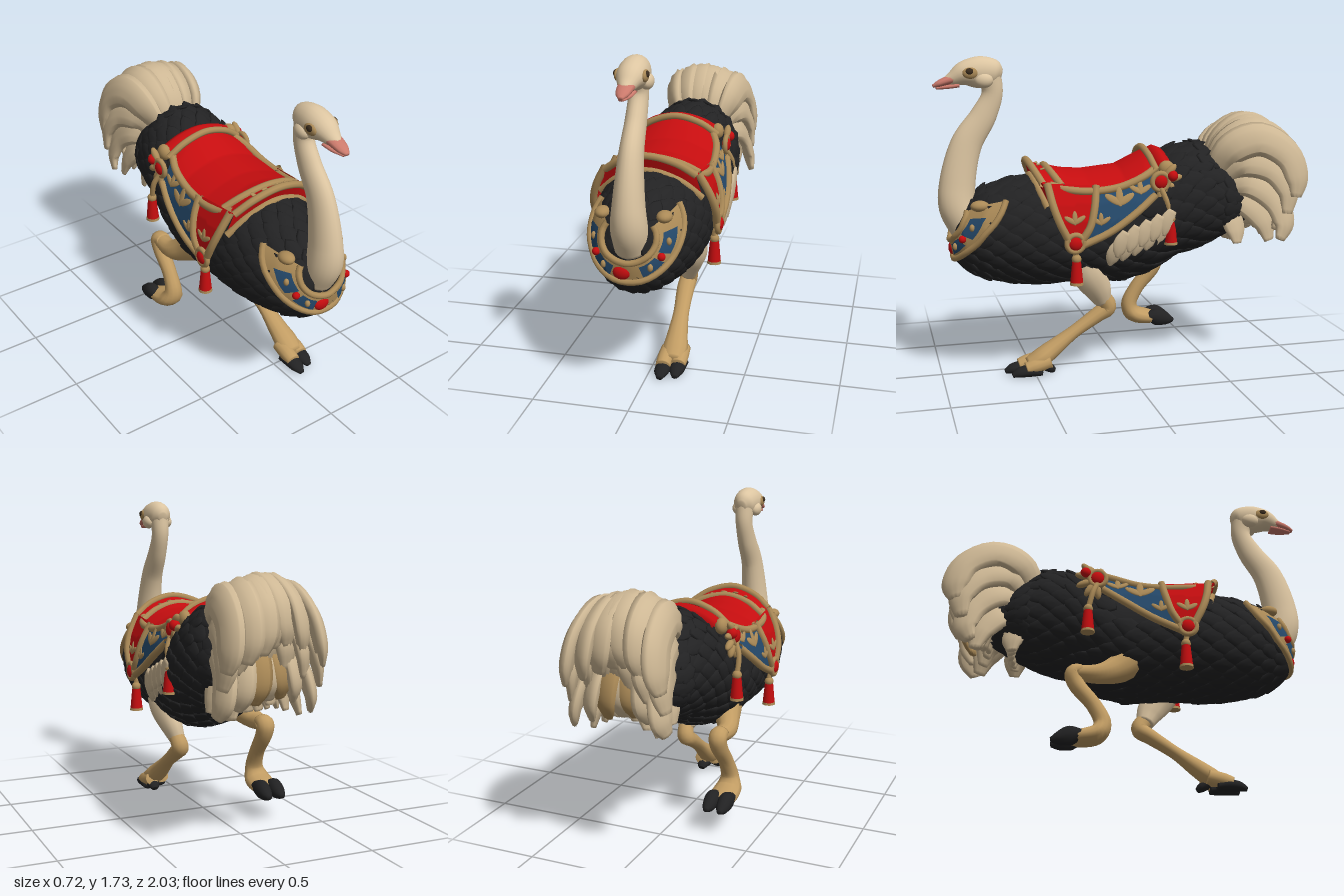
import * as THREE from 'three';
import { mergeGeometries } from 'three/addons/utils/BufferGeometryUtils.js';
import { ParametricGeometry } from 'three/addons/geometries/ParametricGeometry.js';

const CX = -0.02; // centre line of saddle and collar
const V = (x, y, z) => new THREE.Vector3(x, y, z);

const mat = (name, color) => {
  const m = new THREE.MeshStandardMaterial({ color, side: THREE.DoubleSide });
  m.name = name;
  return m;
};

// Linear lookup in rows sorted by their first column
function lookup(rows, t) {
  let i = 0;
  while (i < rows.length - 2 && t > rows[i + 1][0]) i++;
  const [a, b] = [rows[i], rows[i + 1]];
  const k = THREE.MathUtils.clamp((t - a[0]) / (b[0] - a[0]), 0, 1);
  return a.slice(1).map((v, j) => v + (b[j + 1] - v) * k);
}

// Body sections: z, centre x, centre y, half width, half height
const SECTIONS = [
  [-0.76, 0.02, 0.9, 0.01, 0.01], [-0.7, 0.02, 0.91, 0.12, 0.11], [-0.6, 0.02, 0.93, 0.2, 0.19],
  [-0.45, 0.02, 0.95, 0.245, 0.28], [-0.3, 0.01, 0.92, 0.275, 0.29], [-0.15, 0, 0.84, 0.285, 0.3],
  [0, -0.01, 0.78, 0.285, 0.28], [0.25, -0.02, 0.785, 0.285, 0.27], [0.45, -0.02, 0.79, 0.28, 0.285],
  [0.6, -0.02, 0.79, 0.255, 0.27], [0.75, -0.02, 0.785, 0.205, 0.23], [0.84, -0.02, 0.77, 0.15, 0.17],
  [0.88, -0.02, 0.76, 0.1, 0.11], [0.9, -0.02, 0.76, 0.01, 0.01],
];
function bodyPoint(z, a) {
  const [cx, cy, w, h] = lookup(SECTIONS, z);
  return V(cx + w * Math.sin(a), cy + h * Math.cos(a), z);
}
const bodyHalf = (z, y) => {
  const [, cy, w, h] = lookup(SECTIONS, z);
  return w * Math.sqrt(Math.max(0, 1 - ((y - cy) / h) ** 2));
};
// Breast surface at a given x and y, lifted by off
function onChest(x, y, off) {
  let lo = 0.5, hi = 0.9;
  for (let i = 0; i < 24; i++) {
    const z = (lo + hi) / 2, [cx, cy, w, h] = lookup(SECTIONS, z);
    if (((x - cx) / w) ** 2 + ((y - cy) / h) ** 2 < 1) lo = z; else hi = z;
  }
  const p = V(x, y, lo);
  return p.addScaledVector(p.clone().sub(V(CX, 0.78, 0.55)).normalize(), off);
}

// Half width of the saddle skirt at a height
const SKIRT = [[0.7, 0.315], [0.8, 0.33], [0.88, 0.325], [0.97, 0.3], [1.05, 0.262], [1.12, 0.22]];
const skirtX = (y) => lookup(SKIRT, y)[0];

// Loft of elliptical rings along a path of [x, y, z, side radius, other radius]
function loft(pts, seg = 20, rad = 12, ridge = 0, roll = 0) {
  const path = new THREE.CatmullRomCurve3(pts.map((p) => V(p[0], p[1], p[2])));
  const size = new THREE.CatmullRomCurve3(pts.map((p) => V(p[3], p[4], 0)), false, 'catmullrom');
  const pos = [], idx = [];
  for (let i = -1; i <= seg + 1; i++) {
    const t = THREE.MathUtils.clamp(i / seg, 0, 1);
    const c = path.getPoint(t), r = size.getPoint(t), T = path.getTangent(t);
    if (i < 0 || i > seg) r.set(0, 0, 0);
    const side = V(1, 0, 0).addScaledVector(T, -T.x).normalize().applyAxisAngle(T, roll);
    const N = T.clone().cross(side);
    for (let j = 0; j < rad; j++) {
      const f = (j / rad) * Math.PI * 2, k = 1 + ridge * (j % 2 ? -1 : 1);
      const p = c.clone().addScaledVector(side, r.x * k * Math.cos(f)).addScaledVector(N, r.y * k * Math.sin(f));
      pos.push(p.x, p.y, p.z);
    }
  }
  for (let i = 0; i < seg + 2; i++) for (let j = 0; j < rad; j++) {
    const a = i * rad + j, b = i * rad + ((j + 1) % rad);
    idx.push(a, b, a + rad, b, b + rad, a + rad);
  }
  const g = new THREE.BufferGeometry();
  g.setAttribute('position', new THREE.Float32BufferAttribute(pos, 3));
  g.setIndex(idx);
  g.computeVertexNormals();
  return g;
}

const curve = (pts) => new THREE.CatmullRomCurve3(pts.map((p) => V(...p)));
const tube = (pts, r) => new THREE.TubeGeometry(curve(pts), 32, r, 8);
const patch = (f, nu = 20, nv = 12) => new ParametricGeometry((u, v, t) => t.copy(f(u, v)), nu, nv);

export function createModel() {
  const root = new THREE.Group();
  root.name = 'carouselBird';
  const black = mat('black plumage', 0x222223), cream = mat('cream skin', 0xdcc5a1);
  const plume = mat('pale plume', 0xcdb794), tan = mat('tan leg', 0xc19c63), gold = mat('old gold', 0xab8a57);
  const red = mat('red', 0xc50d0f), blue = mat('blue', 0x25496b), pink = mat('pink beak', 0xcb7a6c);
  const brown = mat('dark brown', 0x3b2d1e);
  const add = (name, geo, m, parent = root) => {
    const mesh = new THREE.Mesh(geo, m);
    mesh.name = name;
    parent.add(mesh);
    return mesh;
  };
  const ball = (name, m, p, s) => {
    const b = add(name, new THREE.SphereGeometry(1, 16, 12), m);
    b.position.set(...p);
    b.scale.set(...s);
    return b;
  };

  // Body and its overlapping feathers
  add('body', patch((u, v) => bodyPoint(-0.76 + 1.66 * u, Math.PI * (1 + 2 * v)), 50, 36), black);
  const leaf = new THREE.SphereGeometry(1, 8, 6);
  const lp = leaf.attributes.position;
  for (let i = 0; i < lp.count; i++) {
    const z = lp.getZ(i);
    lp.setXYZ(i, lp.getX(i) * 0.056 * (1 - 0.45 * Math.max(0, z)), lp.getY(i) * 0.016, z * 0.09);
  }
  leaf.computeVertexNormals();
  const feathers = [];
  for (let r = 0; r < 24; r++) for (let k = 0; k < 18; k++) {
    const z = 0.85 - r * 0.066, a = ((k + (r % 2) / 2) / 18) * Math.PI * 2;
    const p = bodyPoint(z, a);
    if (z < 0.42 && z > -0.12 && p.y > 0.8) continue;
    const dir = bodyPoint(z - 0.03, a).sub(p).normalize();
    const n = bodyPoint(z, a + 0.05).sub(p).cross(dir).normalize();
    const out = V(Math.sin(a), Math.cos(a), 0);
    if (n.dot(out) < 0) n.negate();
    const m = new THREE.Matrix4().makeBasis(n.clone().cross(dir), n, dir).setPosition(p.addScaledVector(n, 0.008));
    feathers.push(leaf.clone().applyMatrix4(m.multiply(new THREE.Matrix4().makeRotationX(-0.13))));
  }
  add('bodyFeathers', mergeGeometries(feathers), black);

  // Neck, head and beak
  const hx = -0.015;
  add('neck', loft([[hx, 0.82, 0.83, 0.09, 0.1], [hx, 0.93, 0.885, 0.09, 0.1], [hx, 1.05, 0.885, 0.078, 0.097],
    [hx, 1.27, 0.83, 0.06, 0.084], [hx, 1.42, 0.735, 0.052, 0.07], [hx, 1.54, 0.685, 0.05, 0.056],
    [hx, 1.64, 0.7, 0.058, 0.065]], 40, 20), cream);
  add('head', loft([[hx, 1.635, 0.635, 0.025, 0.03], [hx, 1.645, 0.67, 0.06, 0.07], [hx, 1.65, 0.75, 0.074, 0.084],
    [hx, 1.645, 0.83, 0.068, 0.066], [hx, 1.62, 0.89, 0.045, 0.04], [hx, 1.605, 0.93, 0.025, 0.022]], 24, 20), cream);
  add('upperBeak', loft([[hx, 1.625, 0.85, 0.045, 0.03], [hx, 1.612, 0.91, 0.042, 0.025], [hx, 1.593, 0.965, 0.032, 0.018], [hx, 1.58, 0.997, 0.012, 0.008]]), pink);
  add('lowerBeak', loft([[hx, 1.585, 0.86, 0.042, 0.013], [hx, 1.577, 0.92, 0.036, 0.012], [hx, 1.57, 0.98, 0.016, 0.007]]), pink);
  for (const s of [-1, 1]) {
    ball('eyeSocket', gold, [hx + s * 0.066, 1.65, 0.805], [0.016, 0.03, 0.042]);
    ball('eye', brown, [hx + s * 0.073, 1.658, 0.81], [0.014, 0.018, 0.022]);
    ball('cheek', cream, [hx + s * 0.056, 1.61, 0.735], [0.034, 0.04, 0.05]);
  }

  // Planted left leg
  add('leftThigh', loft([[0.13, 0.7, 0.26, 0.11, 0.1], [0.15, 0.57, 0.21, 0.085, 0.095], [0.13, 0.46, 0.145, 0.06, 0.075], [0.11, 0.39, 0.115, 0.045, 0.05]]), cream);
  add('leftShank', loft([[0.12, 0.42, 0.12, 0.042, 0.045], [0.105, 0.35, 0.085, 0.05, 0.048], [0.1, 0.31, 0.14, 0.05, 0.042],
    [0.105, 0.22, 0.28, 0.044, 0.035], [0.11, 0.135, 0.4, 0.058, 0.048], [0.115, 0.09, 0.47, 0.068, 0.05], [0.115, 0.06, 0.54, 0.055, 0.034]], 32), tan);
  for (const [x, z] of [[0.075, 0], [0.15, -0.03]]) {
    add('leftToe', loft([[x, 0.08, 0.45 + z, 0.04, 0.04], [x, 0.06, 0.53 + z, 0.044, 0.042], [x, 0.045, 0.585 + z, 0.04, 0.034]]), tan);
    add('leftClaw', loft([[x, 0.022, 0.5 + z, 0.04, 0.02], [x, 0.032, 0.56 + z, 0.043, 0.032], [x, 0.027, 0.62 + z, 0.038, 0.027], [x, 0.012, 0.662 + z, 0.016, 0.012]]), black);
  }
  add('leftHeelClaw', loft([[0.14, 0.06, 0.46, 0.04, 0.03], [0.14, 0.035, 0.42, 0.035, 0.025], [0.14, 0.02, 0.4, 0.02, 0.015]]), black);

  // Lifted right leg
  const rx = -0.25;
  add('rightThigh', loft([[-0.17, 0.66, 0.04, 0.1, 0.1], [-0.21, 0.58, -0.05, 0.075, 0.08], [rx, 0.53, -0.15, 0.055, 0.055], [rx, 0.53, -0.27, 0.045, 0.04]]), tan);
  add('rightShank', loft([[rx, 0.545, -0.24, 0.045, 0.035], [rx, 0.53, -0.29, 0.05, 0.045], [rx, 0.47, -0.275, 0.048, 0.045], [-0.255, 0.35, -0.18, 0.042, 0.042],
    [-0.26, 0.25, -0.135, 0.052, 0.046], [-0.265, 0.19, -0.16, 0.075, 0.05], [-0.265, 0.165, -0.25, 0.08, 0.042], [-0.265, 0.16, -0.3, 0.06, 0.03]], 36), tan);
  for (const x of [-0.305, -0.225]) {
    add('rightClaw', loft([[x, 0.175, -0.24, 0.035, 0.025], [x, 0.165, -0.3, 0.042, 0.052], [x, 0.148, -0.36, 0.034, 0.036], [x, 0.14, -0.4, 0.014, 0.012]]), black);
  }

  // Tail plumes: layers of arching feathers as [y, z] paths fanned over x
  const layers = [
    [0.09, [1.06, -0.5], [1.26, -0.58], [1.36, -0.74], [1.29, -0.9], [1.16, -0.95], [1.06, -0.94]],
    [0.085, [1.02, -0.52], [1.2, -0.65], [1.22, -0.81], [1.1, -0.9], [0.97, -0.89]],
    [0.08, [0.99, -0.54], [1.08, -0.69], [1.03, -0.84], [0.9, -0.89], [0.81, -0.86]],
    [0.075, [0.95, -0.56], [0.95, -0.68], [0.86, -0.78], [0.75, -0.81]],
    [0.065, [0.92, -0.54], [0.87, -0.6], [0.79, -0.63], [0.71, -0.64]],
  ];
  layers.forEach(([w, ...path], n) => {
    for (let k = -3; k <= 3; k++) {
      const f = k / 3, last = path.length - 1, spread = n < 3 ? 0.235 : 0.17;
      const wob = Math.sin(k * 5.3 + n * 2.7);
      const pts = path.map(([y, z], i) => {
        const t = i / last, bulge = [0.45, 0.9, 1, 0.95, 0.85, 0.4][Math.round(t * 5)];
        return [0.035 + f * spread * (0.4 + 0.7 * Math.sqrt(t)) + wob * 0.012 * t, y - f * f * 0.1 * Math.min(1, 2 * t) * (n < 3 ? 1 : 0.3) + wob * 0.02 * t,
          z + (1 - Math.abs(f)) * 0.03 * t + wob * 0.015 * t, w * bulge, w * 0.45 * bulge];
      });
      add('tailFeather', loft(pts, 22, 20, 0.09, f * 1.2), n === 2 && Math.abs(k) === 1 ? gold : plume);
    }
  });

  // Saddle seat with raised front and back
  const SEAT = [[-0.17, 1.22, 0.2], [-0.1, 1.185, 0.235], [0, 1.135, 0.255], [0.2, 1.115, 0.262], [0.32, 1.125, 0.255], [0.42, 1.15, 0.215]];
  const seat = (z, s) => {
    const [y, w] = lookup(SEAT, z);
    return V(CX + w * s, y - 0.085 * s * s, z);
  };
  add('seat', patch((u, v) => seat(-0.17 + 0.58 * u, v * 2 - 1), 24, 20), red);
  const arc = (z, y, drop, half, bow = 0.05) => [-1, -0.6, 0, 0.6, 1].map((s) => [CX + half * s, y - drop * s * s, z - bow * s * s]);
  const pommelBack = curve(arc(0.4, 1.13, 0.08, 0.235)), pommelTop = curve(arc(0.51, 1.175, 0.1, 0.24));
  add('pommel', patch((u, v) => pommelBack.getPoint(u).lerp(pommelTop.getPoint(u), v), 20, 4), red);
  add('pommelRim', tube(arc(0.51, 1.175, 0.1, 0.24), 0.02), gold);
  add('seatFrontRim', tube(arc(0.41, 1.14, 0.08, 0.235), 0.021), gold);
  add('pommelFace', patch((u, v) => pommelTop.getPoint(u).lerp(curve(arc(0.48, 1.09, 0.14, 0.27)).getPoint(u), v), 20, 4), red);
  add('pommelBase', tube(arc(0.49, 1.09, 0.14, 0.27), 0.02), gold);
  for (const s of [-0.35, -0.12, 0.12, 0.35]) {
    const stud = ball('pommelLeaf', gold, pommelBack.getPoint(0.5 + s / 2).lerp(pommelTop.getPoint(0.5 + s / 2), 0.5).toArray(), [0.022, 0.006, 0.012]);
    stud.rotation.set(0.4, s * 3, 0);
  }
  add('cantleRim', tube(arc(-0.14, 1.225, 0.1, 0.23, 0.02), 0.019), gold);
  add('cantleRoll', tube(arc(-0.21, 1.185, 0.06, 0.19, 0.01), 0.046), red);

  // Skirts, medallions and tassels on both sides
  const frontEdge = [[1.08, 0.44], [0.97, 0.42], [0.88, 0.39], [0.76, 0.33]];
  const midEdge = [[1.06, 0.18], [0.95, 0.2], [0.85, 0.23], [0.76, 0.29]];
  const topEdge = [[1.04, 0.18], [1.05, 0.08], [1.08, -0.04], [1.11, -0.14]];
  const lowEdge = [[0.75, 0.28], [0.82, 0.12], [0.91, -0.02], [1.0, -0.14]];
  for (const s of [-1, 1]) {
    const side = s > 0 ? 'left' : 'right';
    const onSkirt = (y, z, off = 0) => V(CX + s * (skirtX(y) + off), y, z);
    const between = (A, B) => {
      const [a, b] = [A, B].map((e) => curve(e.map(([y, z]) => [0, y, z])));
      return patch((u, v) => { const p = a.getPoint(u).lerp(b.getPoint(u), v); return onSkirt(p.y, p.z); });
    };
    add(side + 'FrontSkirt', between(frontEdge, midEdge), red);
    add(side + 'RearSkirt', between(topEdge, lowEdge), blue);
    for (const e of [frontEdge, midEdge, lowEdge]) add(side + 'SkirtTrim', tube(e.map(([y, z]) => onSkirt(y, z, 0.004).toArray()), 0.021), gold);
    add(side + 'SeatTrim', tube([-0.17, -0.08, 0.05, 0.2, 0.32, 0.42].map((z) => seat(z, s).toArray()), 0.022), gold);

    // Gilded sprigs
    for (const [y, z, k] of [[0.97, 0.06, 1.7], [0.87, 0.17, 1.1], [1.02, -0.06, 1.3], [0.88, 0.31, 1.2]]) {
      const sprig = new THREE.Group();
      sprig.name = side + 'Sprig';
      for (const a of [-1, 0, 1]) {
        const p = add('sprigLeaf', new THREE.SphereGeometry(1, 10, 8), gold, sprig);
        p.scale.set(0.006, 0.032 * k, 0.012 * k);
        p.position.set(0, 0.02 * k * Math.cos(a), 0.024 * k * Math.sin(a));
        p.rotation.x = a;
      }
      sprig.position.copy(onSkirt(y, z, 0.005));
      sprig.rotation.z = s * Math.atan((skirtX(y - 0.02) - skirtX(y + 0.02)) / 0.04);
      root.add(sprig);
    }

    // Each row: medallion y, z, x, tassel top y, tassel z
    for (const [y, z, x, ty, tz] of [[0.77, 0.31, 0.335, 0.68, 0.3], [1.07, -0.17, 0.28, 0.87, -0.22]]) {
      const ring = add(side + 'MedallionRing', new THREE.TorusGeometry(0.045, 0.015, 8, 24), gold);
      ring.position.set(CX + s * x, y, z);
      ring.rotation.y = Math.PI / 2;
      ball(side + 'Medallion', red, [CX + s * x, y, z], [0.025, 0.04, 0.04]);
      const tx = CX + s * 0.31;
      add(side + 'Cord', tube([[CX + s * x, y - 0.03, z], [tx, (y + ty) / 2, (z + tz) / 2], [tx, ty, tz]], 0.015), gold);
      ball(side + 'TasselKnot', gold, [tx, ty, tz], [0.026, 0.026, 0.026]);
      const tassel = add(side + 'Tassel', new THREE.CylinderGeometry(0.024, 0.035, 0.115, 14), red);
      tassel.position.set(tx, ty - 0.07, tz);
      const hem = add(side + 'TasselHem', new THREE.CylinderGeometry(0.036, 0.038, 0.014, 14), gold);
      hem.position.set(tx, ty - 0.132, tz);
    }
    for (let k = 0; k < 5; k++) {
      const a = k * 0.6 - 1.6;
      const petal = ball(side + 'RosettePetal', gold, [CX + s * 0.275, 1.07 + 0.08 * Math.sin(a), -0.17 - 0.08 * Math.cos(a)], [0.02, 0.02, 0.045]);
      petal.rotation.x = a;
    }
    ball(side + 'CantleKnob', gold, [CX + s * 0.22, 1.13, -0.22], [0.035, 0.045, 0.045]);
    ball(side + 'StrapBead', red, [CX + s * 0.285, 1.1, -0.235], [0.03, 0.03, 0.03]);
  }

  // Pale wing feathers on the left flank
  for (let r = 0; r < 2; r++) for (let k = 0; k < 5; k++) {
    const z = 0.09 - k * 0.064 - r * 0.03, y = 0.705 + k * 0.026 + r * 0.05;
    const at = (dy, dz, w) => [bodyHalf(z, y + dy) + 0.016 + r * 0.008, y + dy, z + dz, 0.014, w];
    add('wingFeather', loft([at(0.06, -0.03, 0.025), at(0.01, 0, 0.04), at(-0.04, 0.012, 0.036), at(-0.075, 0.02, 0.012)], 10, 10), plume);
  }

  // Breast collar with inlaid panels
  const collar = (th, k, off = 0) => onChest(CX + (0.125 + 0.085 * k) * Math.sin(th), 0.86 - (0.1 + 0.095 * k) * Math.cos(th), 0.034 + off);
  const span = (a, b, t) => a + (b - a) * t;
  add('collar', patch((u, v) => collar(span(-2.15, 2.15, u), v), 48, 8), gold);
  for (const k of [0, 1]) {
    add('collarTrim', tube(Array.from({ length: 17 }, (_, i) => collar(span(-2.15, 2.15, i / 16), k).toArray()), 0.017), gold);
  }
  for (const s of [-1, 1]) {
    add('collarPanel', patch((u, v) => collar(s * span(0.4, 0.95, u), span(0.25, 0.78, v), 0.007), 12, 6), blue);
    add('collarSidePanel', patch((u, v) => collar(s * span(1.15, 1.75, u), span(0.25, 0.78, v), 0.007), 12, 6), blue);
    for (const th of [0.67, 1.45]) ball('collarLeaf', gold, collar(s * th, 0.5, 0.008).toArray(), [0.014, 0.02, 0.014]);
    ball('collarStud', red, collar(s * 1.05, 0.5, 0.008).toArray(), [0.02, 0.02, 0.02]);
    ball('collarScroll', gold, collar(s * 2.15, 0.5).toArray(), [0.04, 0.03, 0.05]);
  }
  ball('collarGemMount', gold, [-0.045, 0.705, 0.9], [0.06, 0.052, 0.028]);
  ball('collarGem', red, [-0.045, 0.705, 0.915], [0.046, 0.038, 0.025]);
  return root;
}
